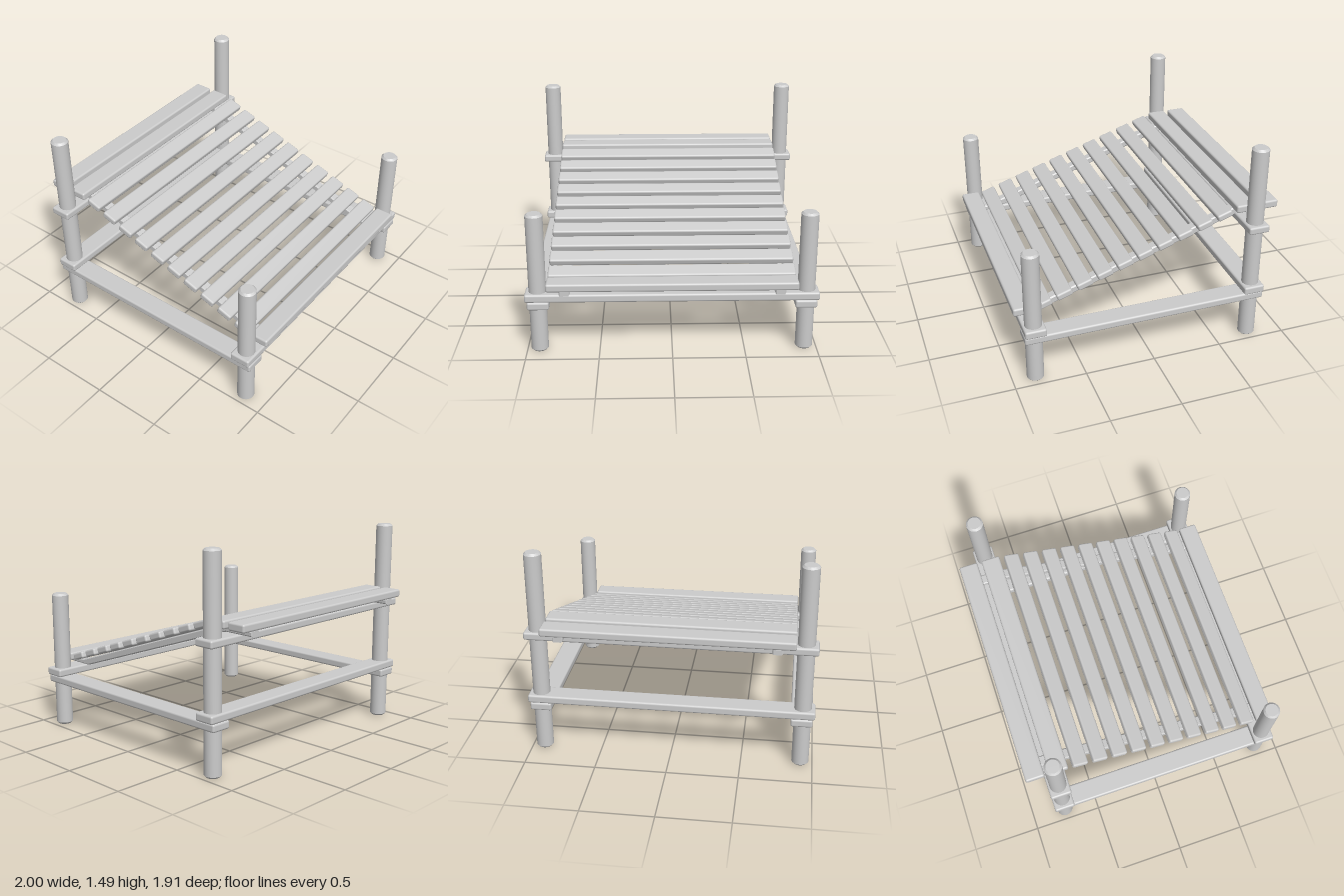
import * as THREE from 'three';
import { RoundedBoxGeometry } from 'three/addons/geometries/RoundedBoxGeometry.js';
import { toCreasedNormals } from 'three/addons/utils/BufferGeometryUtils.js';

const FRONT_Z = 0.84, BACK_Z = -0.75, POST_X = 0.915;

export function createModel() {
  const model = new THREE.Group();
  const material = new THREE.MeshStandardMaterial({ color: 0xcccccc });

  function add(name, geometry, x, y, z, tilt = 0) {
    const mesh = new THREE.Mesh(geometry, material);
    mesh.name = name;
    mesh.position.set(x, y, z);
    mesh.rotation.x = tilt;
    model.add(mesh);
  }

  const beam = (w, h, d, r = 0.014) => new RoundedBoxGeometry(w, h, d, 2, r);

  // Round posts with chamfered ends
  function post(height) {
    const r = 0.06, c = 0.014;
    const profile = [[0, 0], [r - c, 0], [r, c], [r, height - c], [r - c, height], [0, height]]
      .map(([x, y]) => new THREE.Vector2(x, y));
    return toCreasedNormals(new THREE.LatheGeometry(profile, 28), 0.5);
  }

  for (const [side, s] of [['left', 1], ['right', -1]]) {
    add(`${side}FrontPost`, post(1.0), s * POST_X, 0, FRONT_Z);
    add(`${side}BackPost`, post(1.49), s * POST_X, 0, BACK_Z);
    add(`${side}SideRail`, beam(0.15, 0.057, 1.74), s * 0.91, 0.353, (FRONT_Z + BACK_Z) / 2);
  }

  // Cross rails
  add('frontRail', beam(2, 0.058, 0.15), 0, 0.41, FRONT_Z);
  add('backRail', beam(2, 0.058, 0.15), 0, 0.41, BACK_Z);
  add('upperBackRail', beam(2, 0.055, 0.15), 0, 0.898, BACK_Z);

  // Stringers: flat at each end, sloping between; profile drawn in (z, y)
  const outline = new THREE.Shape([
    [0.94, 0.441], [0.94, 0.477], [0.786, 0.477], [-0.66, 0.966],
    [-0.946, 0.966], [-0.946, 0.93], [-0.717, 0.93], [0.73, 0.441],
  ].map(([z, y]) => new THREE.Vector2(z, y)));
  const bevel = 0.008, width = 0.072;
  const stringer = new THREE.ExtrudeGeometry(outline, {
    depth: width - 2 * bevel, bevelEnabled: true, bevelSegments: 1,
    bevelSize: bevel, bevelThickness: bevel, bevelOffset: -bevel,
  });
  stringer.translate(0, 0, bevel - width / 2);
  stringer.rotateY(-Math.PI / 2);
  add('leftStringer', stringer, 0.728, 0, 0);
  add('rightStringer', stringer, -0.728, 0, 0);

  // Flat boards at the foot and the head of the ramp
  const flatBoard = beam(1.7, 0.057, 0.137);
  add('footBoard', flatBoard, 0, 0.505, 0.8865);
  add('headBoardFront', flatBoard, 0, 0.996, -0.716);
  add('headBoardBack', flatBoard, 0, 0.996, -0.8865);

  // Sloping slats
  const slat = beam(1.7, 0.05, 0.113);
  const count = 10, start = [0.525, 0.74], end = [0.965, -0.561];
  const tilt = Math.atan2(end[0] - start[0], start[1] - end[1]);
  for (let i = 0; i < count; i++) {
    const t = i / (count - 1);
    add(`slat${i + 1}`, slat, 0,
      THREE.MathUtils.lerp(start[0], end[0], t),
      THREE.MathUtils.lerp(start[1], end[1], t), tilt);
  }

  return model;
}
